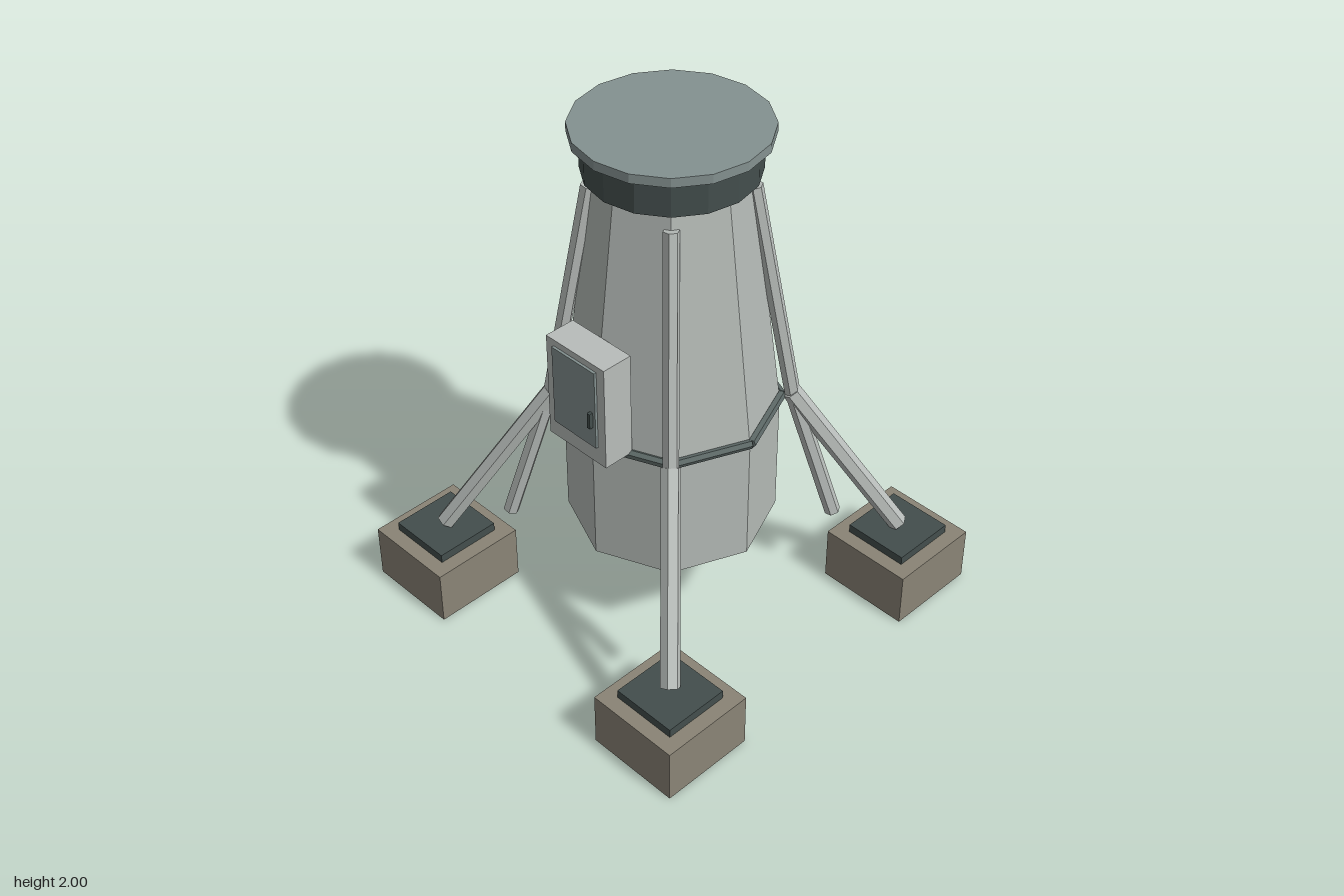
import * as THREE from 'three';

const mat = (color) => new THREE.MeshStandardMaterial({ color, flatShading: true });
const hull = mat(0xb4bab6);
const steel = mat(0xb8bdba);
const grey = mat(0x849190);
const dark = mat(0x434e4d);
const trim = mat(0x5c6866);
const concrete = mat(0x8a8476);

const V = (x, y, z) => new THREE.Vector3(x, y, z);

function add(parent, name, geometry, material, x = 0, y = 0, z = 0) {
  const mesh = new THREE.Mesh(geometry, material);
  mesh.name = name;
  mesh.position.set(x, y, z);
  parent.add(mesh);
  return mesh;
}

// Box given by its min and max corners
function block(parent, name, material, [x0, y0, z0], [x1, y1, z1]) {
  return add(parent, name, new THREE.BoxGeometry(x1 - x0, y1 - y0, z1 - z0), material,
    (x0 + x1) / 2, (y0 + y1) / 2, (z0 + z1) / 2);
}

// Upright prism between two heights
function drum(parent, name, material, rTop, rBottom, y0, y1, sides) {
  return add(parent, name, new THREE.CylinderGeometry(rTop, rBottom, y1 - y0, sides), material,
    0, (y0 + y1) / 2, 0);
}

// Six-sided bar between two points
function strut(parent, name, material, a, b, radius) {
  const dir = b.clone().sub(a);
  const mesh = add(parent, name, new THREE.CylinderGeometry(radius, radius, dir.length(), 6), material);
  mesh.position.copy(a).lerp(b, 0.5);
  mesh.quaternion.setFromUnitVectors(V(0, 1, 0), dir.normalize());
  return mesh;
}

export function createModel() {
  const model = new THREE.Group();
  model.name = 'tower';

  // Eight-sided body: straight skirt and tapered upper part
  drum(model, 'lowerBody', hull, 0.387, 0.387, 0.365, 0.88, 8);
  drum(model, 'upperBody', hull, 0.265, 0.385, 0.88, 1.84, 8);

  // Rail around the waist, one bar per side
  const waist = new THREE.Group();
  waist.name = 'waistRing';
  model.add(waist);
  const corner = (i) => V(Math.sin(i * Math.PI / 4) * 0.392, 0.877, Math.cos(i * Math.PI / 4) * 0.392);
  for (let i = 0; i < 8; i++) strut(waist, 'ringBar', trim, corner(i), corner(i + 1), 0.018);

  // Collar and cap
  drum(model, 'collar', dark, 0.307, 0.307, 1.83, 1.965, 16);
  drum(model, 'cap', grey, 0.346, 0.346, 1.965, 2, 16);

  // Four legs on the diagonals, each with a forked foot
  for (const sx of [-1, 1]) for (const sz of [-1, 1]) {
    const leg = new THREE.Group();
    leg.name = 'leg';
    model.add(leg);
    const p = (d, y) => V(sx * d, y, sz * d);
    strut(leg, 'upperStrut', steel, p(0.195, 1.76), p(0.308, 0.87), 0.029);
    strut(leg, 'footStrut', steel, p(0.302, 0.895), p(0.602, 0.265), 0.036);
    strut(leg, 'innerStrut', steel, p(0.308, 0.88), p(0.426, 0.325), 0.03);
    add(leg, 'footPlate', new THREE.BoxGeometry(0.256, 0.036, 0.256), dark, sx * 0.603, 0.233, sz * 0.603);
    add(leg, 'footing', new THREE.BoxGeometry(0.37, 0.217, 0.37), concrete, sx * 0.603, 0.1085, sz * 0.603);
  }

  // Cabinet on the front
  const cabinet = new THREE.Group();
  cabinet.name = 'cabinet';
  model.add(cabinet);
  block(cabinet, 'cabinetBox', steel, [-0.142, 0.885, 0.333], [0.142, 1.302, 0.455]);
  block(cabinet, 'cabinetDoor', grey, [-0.105, 0.957, 0.45], [0.105, 1.277, 0.465]);
  block(cabinet, 'doorHandle', dark, [0.08, 1.042, 0.46], [0.093, 1.105, 0.48]);

  return model;
}
